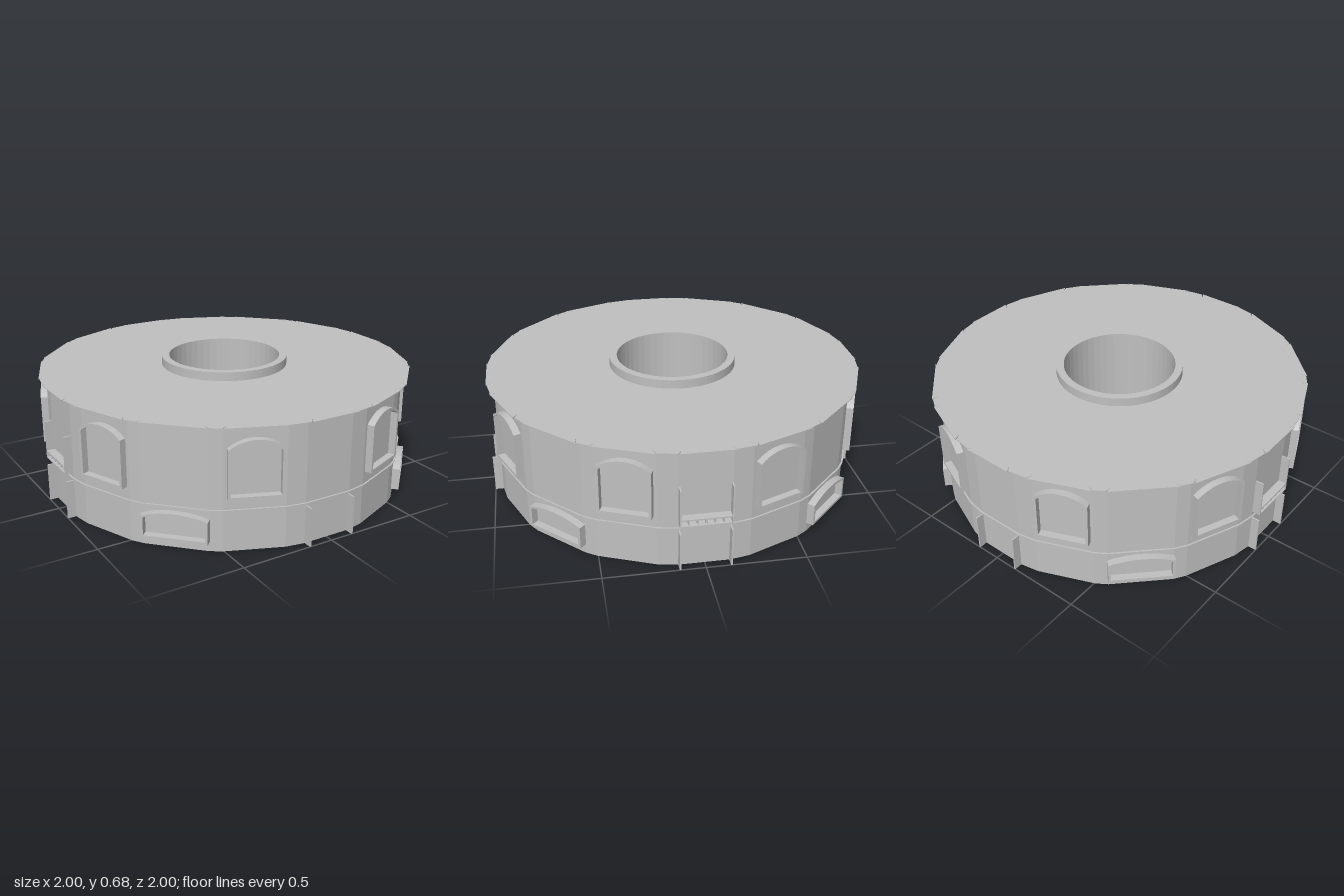
import * as THREE from 'three';

const stone = new THREE.MeshStandardMaterial({ color: 0xc0c0c0, flatShading: true, side: THREE.DoubleSide });
stone.name = 'grey stone';

const HOLE = 0.3;
const rad = THREE.MathUtils.degToRad;

// Irregular ring of corners: one flat side for each opening, short chords between
function ringOutline(radius, notch = 0) {
  const points = [];
  const add = (deg, r) => points.push(new THREE.Vector2(r * Math.cos(rad(deg)), r * Math.sin(rad(deg))));
  for (let i = 0; i < 16; i++) {
    const centre = i * 22.5;
    const half = i % 4 === 0 ? 7.7 : i % 2 === 0 ? 9.6 : 8.9;
    if (notch) {
      add(centre - half - 0.2, radius - 0.005);
      add(centre - half + 1, radius - notch);
    }
    add(centre - half, radius);
    add(centre + half, radius);
    if (notch) {
      add(centre + half - 1, radius - notch);
      add(centre + half + 0.2, radius - 0.005);
    }
  }
  return points;
}

// Flat slab with a round hole, standing on height y
function slab(name, outline, hole, y, height) {
  const shape = new THREE.Shape(outline);
  if (hole) shape.holes.push(new THREE.Path().absarc(0, 0, hole, 0, Math.PI * 2, true));
  const geometry = new THREE.ExtrudeGeometry(shape, { depth: height, bevelEnabled: false, curveSegments: 24 });
  geometry.rotateX(-Math.PI / 2);
  geometry.translate(0, y, 0);
  const mesh = new THREE.Mesh(geometry, stone);
  mesh.name = name;
  return mesh;
}

// Arched outline, used for both edges of a window frame
function arch(path, halfWidth, bottom, spring, top) {
  path.moveTo(-halfWidth, bottom);
  path.lineTo(halfWidth, bottom);
  path.lineTo(halfWidth, spring);
  path.quadraticCurveTo(halfWidth * 0.55, top, 0, top);
  path.quadraticCurveTo(-halfWidth * 0.55, top, -halfWidth, spring);
  path.lineTo(-halfWidth, bottom);
  return path;
}

function windowFrame(name, angle, halfWidth, bottom, spring, top) {
  const t = 0.014;
  const shape = arch(new THREE.Shape(), halfWidth, bottom, spring, top);
  shape.holes.push(arch(new THREE.Path(), halfWidth - t, bottom + t, spring - t / 2, top - t));
  const geometry = new THREE.ExtrudeGeometry(shape, { depth: 0.055, bevelEnabled: false, curveSegments: 5 });
  geometry.translate(0, 0, 0.935);
  const mesh = new THREE.Mesh(geometry, stone);
  mesh.name = name;
  mesh.rotation.y = rad(angle);
  return mesh;
}

function box(name, w, h, d, x, y, z) {
  const mesh = new THREE.Mesh(new THREE.BoxGeometry(w, h, d), stone);
  mesh.name = name;
  mesh.position.set(x, y, z);
  return mesh;
}

// Pair of upright cheeks beside a doorway
function doorway(name, angle, bottom) {
  const group = new THREE.Group();
  group.name = name;
  for (const side of [-1, 1]) group.add(box('cheek', 0.008, 0.2, 0.06, side * 0.125, bottom + 0.1, 0.97));
  group.rotation.y = rad(angle);
  return group;
}

export function createModel() {
  const model = new THREE.Group();
  model.name = 'roundBuilding';

  // Drum, overhanging roof and thin ledge between the storeys
  model.add(slab('drumWall', ringOutline(0.965), HOLE, 0, 0.631));
  model.add(slab('roofPlate', ringOutline(1.005, 0.035), HOLE, 0.631, 0.004));
  model.add(slab('storeyLedge', ringOutline(0.974), HOLE + 0.1, 0.212, 0.004));

  // Raised rim around the central well, and the well floor
  const circle = new THREE.Path().absarc(0, 0, 0.34, 0, Math.PI * 2).getPoints(48);
  model.add(slab('wellRim', circle, HOLE, 0.635, 0.047));
  const floor = new THREE.Mesh(new THREE.CylinderGeometry(HOLE, HOLE, 0.01, 48), stone);
  floor.name = 'wellFloor';
  floor.position.y = 0.055;
  model.add(floor);

  for (let i = 0; i < 4; i++) {
    const angle = i * 90;
    model.add(doorway('groundDoorway', angle, 0));
    model.add(windowFrame('lowWindow', angle + 45, 0.165, 0.05, 0.165, 0.192));
    for (const offset of [-22.5, 22.5]) {
      model.add(windowFrame('tallWindow', angle + offset, 0.133, 0.278, 0.525, 0.572));
    }
    // Balconies on the two sides only
    if (i % 2 === 1) {
      const balcony = doorway('balcony', angle, 0.24);
      balcony.add(box('balconyFloor', 0.25, 0.008, 0.06, 0, 0.278, 0.97));
      for (let k = -2; k <= 2; k++) balcony.add(box('bracket', 0.008, 0.036, 0.05, k * 0.042, 0.258, 0.965));
      balcony.add(box('balconyBase', 0.25, 0.006, 0.06, 0, 0.243, 0.97));
      model.add(balcony);
    }
  }
  return model;
}
